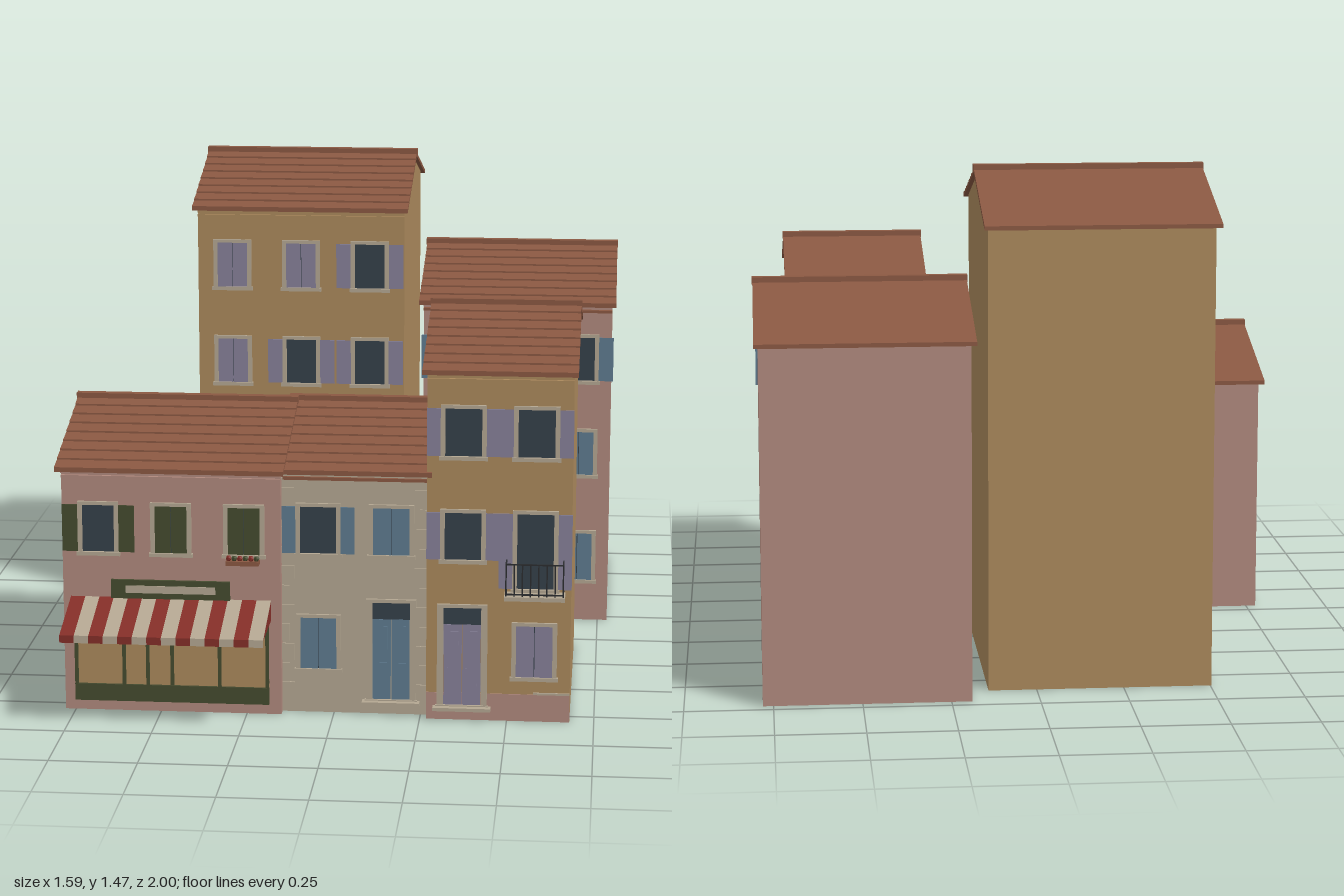
import * as THREE from 'three';

const mat = (name, color, side = THREE.FrontSide) => {
  const m = new THREE.MeshStandardMaterial({ color, side });
  m.name = name;
  return m;
};

export function createModel() {
  const pink = mat('pink plaster', 0xb0897d, THREE.DoubleSide);
  const ochre = mat('ochre plaster', 0xab895c, THREE.DoubleSide);
  const cream = mat('cream stone', 0xb4a792, THREE.DoubleSide);
  const tile = mat('roof tile', 0x8a5842), red = mat('red cloth', 0x842e28);
  const blue = mat('blue paint', 0x5e7b8f), purple = mat('purple paint', 0x868098);
  const green = mat('green paint', 0x454b2f), glass = mat('dark glass', 0x35404a);
  const iron = mat('black iron', 0x2a2c2e);

  const group = (name, parent) => {
    const g = new THREE.Group();
    g.name = name;
    parent.add(g);
    return g;
  };
  const add = (g, name, geo, m) => {
    const mesh = new THREE.Mesh(geo, m);
    mesh.name = name;
    g.add(mesh);
  };
  // Box given by its x, y and z limits
  const box = (g, name, m, x0, x1, y0, y1, z0, z1) => {
    const geo = new THREE.BoxGeometry(x1 - x0, y1 - y0, z1 - z0);
    add(g, name, geo.translate((x0 + x1) / 2, (y0 + y1) / 2, (z0 + z1) / 2), m);
  };
  // Side profile of [z, y] points, extruded from x0 to x1
  const profile = pts => new THREE.Shape(pts.map(p => new THREE.Vector2(p[0], p[1])));
  const prism = (g, name, m, pts, x0, x1) => {
    const geo = new THREE.ExtrudeGeometry(profile(pts), { depth: x1 - x0, bevelEnabled: false });
    add(g, name, geo.rotateY(-Math.PI / 2).translate(x1, 0, 0), m);
  };

  const model = new THREE.Group();
  model.name = 'townHouses';
  const HALF = 0.375, EAVE = 0.413, RISE = 0.117, T = 0.012;

  // Hollow shell of four walls, open at the bottom
  const walls = (g, m, x0, x1, zc, top, apex) => {
    const gable = profile([[zc - HALF, 0], [zc + HALF, 0], [zc + HALF, top], [zc, apex], [zc - HALF, top]]);
    const w = x1 - x0, xc = (x0 + x1) / 2;
    const side = () => new THREE.ShapeGeometry(gable).rotateY(-Math.PI / 2);
    add(g, 'rightWall', side().translate(x0, 0, 0), m);
    // Reverse the winding so that this gable faces +x
    const left = side().translate(x1, 0, 0);
    left.setIndex([...left.index.array].reverse());
    left.computeVertexNormals();
    add(g, 'leftWall', left, m);
    add(g, 'frontWall', new THREE.PlaneGeometry(w, top).translate(xc, top / 2, zc + HALF), m);
    add(g, 'backWall', new THREE.PlaneGeometry(w, top).rotateY(Math.PI).translate(xc, top / 2, zc - HALF), m);
  };

  // Stone surround with a projecting sill; z is the wall face
  const surround = (g, x, w, y0, y1, z, b = 0.013) => {
    const h = w / 2;
    for (const s of [-1, 1]) {
      const a = x + s * h, c = x + s * (h + b);
      box(g, 'jamb', cream, Math.min(a, c), Math.max(a, c), y0, y1, z, z + 0.008);
    }
    box(g, 'lintel', cream, x - h - b, x + h + b, y1, y1 + 0.01, z, z + 0.008);
    box(g, 'sill', cream, x - h - b - 0.004, x + h + b + 0.004, y0 - 0.011, y0, z, z + 0.012);
  };
  const windowAt = (parent, x, w, y0, y1, z, paint, open) => {
    const g = group('window', parent);
    surround(g, x, w, y0, y1, z);
    box(g, 'pane', glass, x - w / 2, x + w / 2, y0, y1, z, z + 0.002);
    const d = open ? 0.104 - w / 2 : 0, a = d + 0.001, c = d + w / 2;
    box(g, 'leftShutter', paint, x + a, x + c, y0, y1, z + 0.002, z + 0.006);
    box(g, 'rightShutter', paint, x - c, x - a, y0, y1, z + 0.002, z + 0.006);
  };
  const doorAt = (parent, x, z, paint) => {
    const g = group('door', parent), h = 0.054;
    surround(g, x, 2 * h, 0.045, 0.335, z, 0.018);
    box(g, 'transom', glass, x - h, x + h, 0.285, 0.335, z, z + 0.003);
    for (const s of [-1, 1]) {
      const c = x + s * h / 2;
      box(g, 'doorLeaf', paint, c - h / 2 + 0.001, c + h / 2 - 0.001, 0.045, 0.285, z, z + 0.004);
      for (const y of [0.07, 0.18]) box(g, 'doorPanel', paint, c - 0.016, c + 0.016, y, y + 0.085, z, z + 0.006);
    }
    box(g, 'doorstep', cream, x - 0.083, x + 0.083, 0.032, 0.042, z, z + 0.03);
  };

  // Floors run from the ground up: o = open, c = closed, d = door, . = none
  const house = (name, x0, x1, zc, eave, wall, paint, floors) => {
    const g = group(name, model), zf = zc + HALF, w = floors[0].length > 2 ? 0.092 : 0.104;
    walls(g, wall, x0, x1, zc, eave + RISE * (1 - HALF / EAVE), eave + RISE);
    box(g, 'cornice', wall, x0, x1, eave - 0.024, eave - 0.016, zf, zf + 0.008);
    box(g, 'upperCornice', wall, x0, x1, eave - 0.01, eave, zf, zf + 0.012);

    // Roof: plain rear slope, overlapping tile courses in front
    const pts = [[zc + EAVE, eave], [zc, eave + RISE], [zc - EAVE, eave], [zc - EAVE, eave + T], [zc, eave + RISE + T]];
    const N = 8;
    for (let i = 1; i <= N; i++) {
      const z = zc + EAVE * i / N, y = eave + T + RISE * (1 - i / N);
      pts.push([z, y + 0.002]);
      if (i < N) pts.push([z, y - 0.003]);
    }
    prism(g, 'roof', tile, pts.reverse(), x0 - 0.013, x1 + 0.012);
    const r = eave + RISE + T;
    box(g, 'ridgeCap', tile, x0 - 0.015, x1 + 0.014, r - 0.009, r + 0.012, zc - 0.013, zc + 0.013);

    floors.forEach((row, f) => [...row].forEach((k, i) => {
      const x = x0 + (x1 - x0) * (i + 0.5) / row.length;
      if (k === 'd') doorAt(g, x, zf, paint);
      else if (k !== '.') {
        const y = f ? 0.477 + 0.303 * (f - 1) : 0.133;
        windowAt(g, x, w, y, y + (f ? 0.138 : 0.152), zf, paint, k === 'o');
      }
    }));
    return g;
  };

  const shop = house('shopHouse', -0.78, -0.15, 0.425, 0.718, pink, green, ['...', 'occ']);
  const stone = house('stoneHouse', -0.15, 0.27, 0.393, 0.716, cream, blue, ['cd', 'oc']);
  const balconyHouse = house('balconyHouse', 0.268, 0.68, 0.425, 1.02, ochre, purple, ['dc', 'o.', 'oo']);
  house('tallRearHouse', -0.503, 0.138, -0.483, 1.325, ochre, purple, ['dcc', 'coc', 'coo', 'cco']);
  const rear = house('pinkRearHouse', 0.192, 0.78, -0.59, 1.02, pink, blue, ['cdc', 'ooc', 'oco']);

  // Gutters
  box(stone, 'gutter', tile, -0.145, 0.266, 0.695, 0.704, 0.768, 0.782);
  box(rear, 'gutter', tile, 0.192, 0.78, 0.998, 1.006, -0.215, -0.201);

  // Corner stones
  for (let i = 0; i < 11; i++) {
    const l = i % 2 ? 0.022 : 0.036, y = 0.04 + i * 0.058;
    box(stone, 'cornerStone', cream, -0.15, -0.15 + l, y, y + 0.05, 0.768, 0.773);
    box(stone, 'cornerStone', cream, 0.268 - l, 0.268, y, y + 0.05, 0.768, 0.773);
  }

  // Shop front
  const front = group('shopFront', shop), Z = 0.8;
  box(front, 'displayWindow', ochre, -0.75, -0.185, 0.08, 0.27, Z, Z + 0.002);
  box(front, 'stallBase', green, -0.75, -0.185, 0.03, 0.08, Z, Z + 0.009);
  box(front, 'headRail', green, -0.75, -0.185, 0.262, 0.275, Z, Z + 0.008);
  for (const x of [-0.745, -0.606, -0.537, -0.466, -0.328, -0.19])
    box(front, 'mullion', green, x - 0.005, x + 0.005, 0.08, 0.265, Z, Z + 0.008);
  box(front, 'signBoard', green, -0.64, -0.296, 0.34, 0.395, Z, Z + 0.009);
  box(front, 'signPanel', cream, -0.597, -0.338, 0.357, 0.379, Z + 0.009, Z + 0.011);

  // Striped awning with a hanging valance
  const awning = group('awning', shop), a0 = -0.758, step = 0.579 / 14;
  for (let i = 0; i < 14; i++) {
    const m = i % 2 ? cream : red, x = a0 + i * step;
    prism(awning, 'awningStripe', m, [[Z, 0.336], [0.998, 0.28], [0.998, 0.284], [Z, 0.341]].reverse(), x, x + step);
    box(awning, 'valance', m, x, x + step, 0.262, 0.284, 0.998, 1);
  }
  for (const x of [a0, -0.182])
    prism(awning, 'awningSide', red, [[Z, 0.28], [0.998, 0.28], [Z, 0.336]], x, x + 0.003);

  // Flower box
  const flowers = group('flowerBox', shop);
  box(flowers, 'planter', tile, -0.305, -0.21, 0.45, 0.463, Z, Z + 0.03);
  for (let i = 0; i < 6; i++) {
    const f = new THREE.IcosahedronGeometry(0.009, 0).translate(-0.297 + i * 0.016, 0.47, Z + 0.02);
    add(flowers, 'flower', f, i % 2 ? green : red);
  }

  // Balcony door, slab and railing
  const bx = 0.577;
  windowAt(balconyHouse, bx, 0.104, 0.395, 0.615, Z, purple, true);
  const balcony = group('balcony', balconyHouse);
  box(balcony, 'slab', cream, bx - 0.086, bx + 0.086, 0.374, 0.386, Z, 0.86);
  for (const y of [0.39, 0.478]) {
    box(balcony, 'frontRail', iron, bx - 0.083, bx + 0.083, y, y + 0.004, 0.85, 0.854);
    for (const s of [-1, 1])
      box(balcony, 'sideRail', iron, bx + s * 0.081 - 0.002, bx + s * 0.081 + 0.002, y, y + 0.004, Z, 0.854);
  }
  for (let i = 0; i < 8; i++) {
    const x = bx - 0.081 + i * 0.162 / 7;
    box(balcony, 'baluster', iron, x - 0.002, x + 0.002, 0.386, 0.478, 0.85, 0.854);
  }

  // Painted plinth of the balcony house
  box(balconyHouse, 'plinth', pink, 0.268, 0.68, 0, 0.08, Z, Z + 0.003);
  box(balconyHouse, 'plinthTrim', cream, 0.575, 0.68, 0.08, 0.086, Z, Z + 0.005);

  return model;
}
